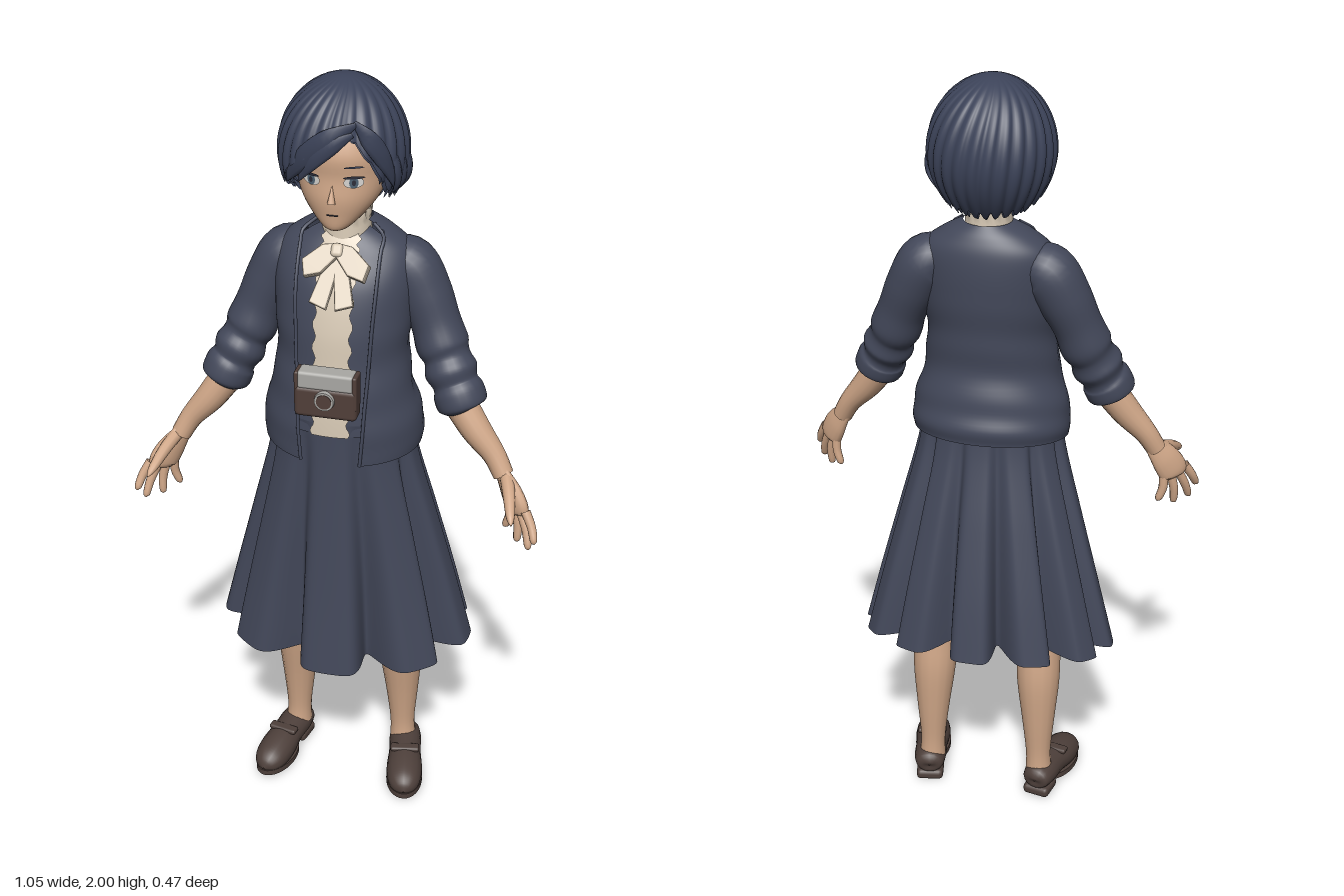
import * as THREE from 'three';
import { mergeVertices } from 'three/addons/utils/BufferGeometryUtils.js';
import { RoundedBoxGeometry } from 'three/addons/geometries/RoundedBoxGeometry.js';

const V = (x, y, z) => new THREE.Vector3(x, y, z);
const mat = (name, color) => {
  const m = new THREE.MeshStandardMaterial({ color, side: THREE.DoubleSide });
  m.name = name;
  return m;
};

// Smooth interpolation through a short table of number rows, t in 0..1
function spline(p, t) {
  const n = p.length, f = Math.min(Math.max(t, 0), 1) * (n - 1);
  const i = Math.min(Math.floor(f), n - 2), u = f - i;
  const a = p[Math.max(i - 1, 0)], b = p[i], c = p[i + 1], d = p[Math.min(i + 2, n - 1)];
  return b.map((_, k) => b[k] + 0.5 * u * (c[k] - a[k] + u * (2 * a[k] - 5 * b[k] + 4 * c[k] - d[k]
    + u * (3 * (b[k] - c[k]) + d[k] - a[k]))));
}

// Straight interpolation of [key, value] rows
function table(rows, key) {
  const i = Math.max(1, rows.findIndex(r => r[0] >= key));
  const [k0, v0] = rows[i - 1], [k1, v1] = rows[i];
  return v0 + (v1 - v0) * (key - k0) / (k1 - k0);
}

// Surface from fn(u, v), u running around and v running up
function surface(cols, rows, fn) {
  const pos = [], idx = [];
  for (let j = 0; j <= rows; j++) for (let i = 0; i <= cols; i++) {
    const p = fn(i / cols, j / rows);
    pos.push(p.x, p.y, p.z);
    if (i < cols && j < rows) {
      const a = j * (cols + 1) + i, c = a + cols + 1;
      idx.push(a, a + 1, c, a + 1, c + 1, c);
    }
  }
  let g = new THREE.BufferGeometry();
  g.setAttribute('position', new THREE.Float32BufferAttribute(pos, 3));
  g.setIndex(idx);
  g = mergeVertices(g, 1e-5);
  g.computeVertexNormals();
  return g;
}

// Limb along rows [x, y, z, radius]; ref is the wide direction, flat squashes across it
function sweep(path, { ref = V(0, 0, 1), flat = 1, cols = 16, rows = 24, minY = -1 } = {}) {
  return surface(cols, rows, (u, v) => {
    const [x, y, z, r] = spline(path, v), a = u * Math.PI * 2;
    const T = V(...spline(path, v + 0.01)).sub(V(...spline(path, v - 0.01))).normalize();
    const B = ref.clone().addScaledVector(T, -ref.dot(T)).normalize();
    const N = B.clone().cross(T);
    const p = V(x, y, z).addScaledVector(N, r * flat * Math.cos(a)).addScaledVector(B, r * Math.sin(a));
    p.y = Math.max(p.y, minY);
    return p;
  });
}

// Point on an oval section [y, half width, front z, back z]; angle 0 is the front
const oval = ([y, hx, zf, zb], a, off = 0, k = 1) =>
  V(Math.sin(a) * (hx + off) * k, y, (zf + zb) / 2 + Math.cos(a) * ((zf - zb) / 2 + off) * k);

export function createModel() {
  const model = new THREE.Group();
  const hairM = mat('hair navy', 0x3c4359), cloth = mat('cloth navy', 0x43485a), skin = mat('skin', 0xd0a788);
  const cream = mat('cream', 0xd6c8b4), shoeM = mat('shoe brown', 0x4e403b), leather = mat('leather brown', 0x513f39);
  const metal = mat('grey metal', 0xa9a8a4), dark = mat('dark line', 0x2b2c38);
  const eyeWhite = mat('eye white', 0xd8d6d2), iris = mat('iris', 0x4d6272);
  const add = (name, geo, m, parent = model) => {
    const mesh = new THREE.Mesh(geo, m);
    mesh.name = name;
    parent.add(mesh);
    return mesh;
  };
  const group = (name, parent = model) => {
    const g = new THREE.Group();
    g.name = name;
    parent.add(g);
    return g;
  };

  // Cardigan with open front
  const torso = [[1.065, .2, .19, -.12], [1.12, .204, .19, -.122], [1.2, .185, .185, -.1], [1.3, .165, .172, -.085],
    [1.4, .17, .162, -.095], [1.5, .175, .137, -.1], [1.57, .163, .1, -.095], [1.612, .115, .075, -.08], [1.64, .06, .05, -.06]];
  const halfAngle = (s, w) => Math.asin(Math.min(.9, w / s[1]));
  const cardigan = (u, v) => {
    const s = spline(torso, v), g = halfAngle(s, .075 + .024 * Math.min(1, v * 1.6)), a = g + u * 2 * (Math.PI - g);
    const p = oval(s, a, .004 * Math.sin(v * 40 + 2 * Math.cos(a)) * Math.max(0, Math.sin(Math.PI * Math.min(1, v * 1.7))) * (Math.cos(a) < 0 ? 1 : .4));
    p.y -= .018 * Math.cos(a) * Math.max(0, 1 - v * 4) - .01;
    return p;
  };
  add('cardigan', surface(72, 56, cardigan), cloth);
  for (const u of [0, 1]) {
    const edge = Array.from({ length: 12 }, (_, i) => [...cardigan(u, i / 11 * .95).toArray(), .0045]);
    add('cardiganEdge', sweep(edge, { cols: 8, rows: 30 }), cloth);
  }

  // Blouse front with wavy ruffles
  const panel = (w, off, wave) => surface(16, 60, (u, v) => {
    const s = spline(torso, .15 + .85 * v);
    return oval(s, (u * 2 - 1) * halfAngle(s, w + wave * Math.sin(v * 75)), off);
  });
  add('vestPanel', panel(.12, -.012, 0), cloth);
  add('blouseFront', panel(.047, -.005, .005), cream);

  // Collar with frilled rim, and neck
  add('collar', surface(48, 6, (u, v) => {
    const a = u * Math.PI * 2, r = .062 - .006 * v + (v > .8 ? .004 * Math.sin(a * 14) + .003 : 0);
    return V(Math.sin(a) * r, 1.605 + .075 * v - .012 * Math.cos(a) * v, .008 + Math.cos(a) * r);
  }), cream);
  add('neck', sweep([[0, 1.58, 0, .05], [0, 1.65, .008, .046], [0, 1.74, .02, .05]]), skin);

  // Neck bow
  const bow = group('bow');
  bow.position.set(0, 1.585, .084);
  bow.rotation.x = -.6;
  const plate = (pts, depth) => {
    const sh = new THREE.Shape(pts.map(p => new THREE.Vector2(...p)));
    return new THREE.ExtrudeGeometry(sh, { depth, bevelEnabled: true, bevelSize: .004, bevelThickness: .004, bevelSegments: 2 });
  };
  for (const s of [1, -1]) {
    add('bowLoop', plate([[0, .014], [s * .035, .008], [s * .078, -.03], [s * .07, -.065], [s * .035, -.055], [0, -.012]], .022), cream, bow);
    add('bowTail', plate([[0, 0], [s * .024, -.03], [s * .05, -.125], [s * .014, -.138], [0, -.05]], .008), cream, bow);
  }
  add('bowKnot', new RoundedBoxGeometry(.03, .034, .036, 3, .01), cream, bow).position.z = .014;

  // Pleated skirt, ten uneven box pleats deepening to the hem
  const skirt = [[.478, .34, .228, -.23], [.66, .293, .21, -.198], [.85, .242, .195, -.158], [1.04, .192, .183, -.115], [1.165, .175, .179, -.1]];
  const pleats = [[0, 0], [46, 1], [86, 2], [119, 3], [149, 4], [180, 5]];
  add('skirt', surface(264, 30, (u, v) => {
    const a = (u * 2 - 1) * Math.PI, low = 1 - v;
    const phase = table(pleats, Math.min(180, Math.abs(u * 2 - 1) * 180));
    const notch = Math.pow((1 - Math.cos(phase * Math.PI * 2)) / 2, 4);
    const p = oval(spline(skirt, v), a, 0, 1 - .35 * notch * Math.pow(low, .9));
    p.y += (-.037 * Math.cos(a) + .012 * notch) * low;
    return p;
  }), cloth);

  // Limbs, built once for each side
  for (const s of [1, -1]) {
    const side = group(s > 0 ? 'leftLimbs' : 'rightLimbs');
    const flip = rows => rows.map(([x, ...r]) => [s * x, ...r]);
    const limb = (name, path, m, o) => add(name, sweep(flip(path), o), m, side);
    limb('sleeve', [[.1, 1.545, -.008, .05], [.15, 1.532, -.01, .069], [.19, 1.465, -.004, .068], [.222, 1.395, .006, .062],
      [.243, 1.34, .016, .066], [.257, 1.31, .024, .058], [.27, 1.28, .034, .066], [.283, 1.252, .042, .057],
      [.293, 1.232, .048, .064], [.305, 1.2, .054, .062], [.308, 1.193, .055, .04]], cloth, { cols: 24, rows: 60 });
    limb('forearm', [[.28, 1.23, .05, .043], [.34, 1.145, .066, .038], [.392, 1.083, .077, .029], [.42, 1.035, .088, .026]], skin);
    // Hand with the index finger forward and outward
    const wide = V(s * .7, .05, .7).normalize();
    limb('palm', [[.405, 1.062, .08, .022], [.42, 1.035, .088, .029], [.443, 1.0, .102, .04], [.462, .965, .115, .042], [.466, .95, .118, .03], [.467, .947, .118, .002]],
      skin, { ref: wide, flat: .5 });
    const fingers = [[.488, .97, .142, .516, .9, .172], [.473, .96, .126, .5, .872, .155], [.457, .957, .11, .467, .868, .12], [.442, .962, .094, .432, .885, .088]];
    for (const [x, y, z, X, Y, Z] of fingers)
      limb('finger', [[x, y, z, .0125], [(x + X) / 2 + .005, (y + Y) / 2, (z + Z) / 2, .0115], [X, Y + .006, Z, .009], [X, Y, Z, .001]], skin, { cols: 10, rows: 12 });
    limb('thumb', [[.43, 1.035, .1, .017], [.446, 1.015, .15, .016], [.46, .988, .205, .011], [.466, .976, .226, .002]], skin, { ref: V(1, 0, 0), cols: 10, rows: 12 });
    limb('leg', [[.12, .75, .01, .078], [.135, .56, 0, .064], [.142, .46, -.012, .06], [.145, .36, -.025, .058], [.148, .24, -.033, .045],
      [.15, .13, -.036, .034], [.152, .07, -.036, .036]], skin);

    // Loafer
    const shoe = group('shoe', side);
    shoe.position.set(s * .167, 0, 0);
    shoe.rotation.y = s * .2;
    add('shoeUpper', sweep([[0, .055, -.085, .002], [0, .056, -.078, .034], [0, .056, -.04, .044], [0, .052, .02, .044], [0, .042, .08, .049],
      [0, .034, .13, .044], [0, .03, .158, .027], [0, .028, .17, .002]], { ref: V(1, 0, 0), flat: .86, rows: 36, minY: .015 }), shoeM, shoe);
    const sole = add('sole', new THREE.CylinderGeometry(.05, .05, .016, 32), shoeM, shoe);
    sole.scale.z = 1.75;
    sole.position.set(0, .014, .083);
    add('heel', new RoundedBoxGeometry(.074, .03, .075, 2, .012), shoeM, shoe).position.set(0, .015, -.045);
    add('shoeStrap', new RoundedBoxGeometry(.08, .014, .028, 2, .006), shoeM, shoe).position.set(0, .083, .045);
  }

  // Head
  const head = group('head');
  const skull = [[1.656, 0, .115, .112], [1.664, .03, .138, .07], [1.7, .068, .145, .02], [1.74, .097, .149, -.035], [1.79, .112, .145, -.07],
    [1.85, .115, .146, -.09], [1.92, .085, .11, -.07], [1.955, 0, .02, .01]];
  add('face', surface(40, 36, (u, v) => {
    const s = spline(skull, v);
    s[1] = Math.max(s[1], 0);
    return oval(s, u * Math.PI * 2);
  }), skin, head);
  const nose = add('nose', new THREE.ConeGeometry(.01, .045, 12), skin, head);
  nose.position.set(0, 1.757, .15);
  nose.rotation.x = -.2;
  add('mouth', new THREE.BoxGeometry(.026, .0025, .004), dark, head).position.set(0, 1.703, .146);
  for (const s of [1, -1]) {
    const ear = add('ear', new THREE.SphereGeometry(.03, 16, 12), skin, head);
    ear.scale.set(.4, 1, .65);
    ear.position.set(s * .112, 1.765, .015);
    const eye = group('eye', head);
    eye.position.set(s * .05, 1.787, .14);
    eye.rotation.y = s * .42;
    const disc = (name, m, w, h, z, y = 0) => {
      const d = add(name, new THREE.CircleGeometry(1, 24), m, eye);
      d.scale.set(w, h, 1);
      d.position.set(0, y, z);
    };
    disc('eyeWhite', eyeWhite, .024, .014, 0);
    disc('iris', iris, .011, .014, .0015);
    disc('pupil', dark, .005, .007, .003);
    disc('upperLash', dark, .026, .0035, .004, .013);
    disc('brow', hairM, .024, .0025, .003, .037);
  }

  // Bobbed hair: rows [angle in degrees, edge height], parted on the left
  const edge = [[-180, 1.692], [-120, 1.7], [-90, 1.722], [-70, 1.75], [-52, 1.775], [-38, 1.81], [-20, 1.84], [0, 1.865], [20, 1.893],
    [30, 1.865], [42, 1.82], [52, 1.78], [70, 1.75], [90, 1.722], [120, 1.7], [180, 1.692]];
  const bob = (shrink, lift) => surface(192, 36, (u, v) => {
    const d = -180 + 360 * u, a = d * Math.PI / 180;
    const lock = Math.abs(Math.sin(a * 13)), tip = Math.abs(Math.sin(a * 13 + .3));
    const low = table(edge, d) - (Math.abs(d) < 50 ? .008 : .022) * tip + .01 + lift;
    const phi0 = Math.asin((low - 1.82) / .18), phi = phi0 + (Math.PI / 2 - phi0) * v;
    const y = 1.82 + .18 * Math.sin(phi), drop = (1.82 - y) / .15;
    const r = (y > 1.82 ? Math.cos(phi) : 1 - .42 * drop * drop) * shrink * (1 + .055 * (lock - .55) * (1 - v ** 4));
    const twist = a + .5 * v * v;
    return V(-.006 + .153 * r * Math.sin(twist), y - (1 - shrink) * .18 * v, .012 + .164 * r * Math.cos(twist));
  });
  add('hair', bob(1, 0), hairM, head);
  add('hairInner', bob(.93, -.006), hairM, head);
  // Fringe swept from the parting
  const fringe = [
    [[.055, 1.925, .14, .006], [0, 1.895, .167, .026], [-.06, 1.845, .157, .026], [-.105, 1.79, .128, .014], [-.118, 1.762, .11, .001]],
    [[.05, 1.905, .152, .006], [.01, 1.882, .17, .018], [-.035, 1.843, .169, .018], [-.07, 1.8, .152, .01], [-.083, 1.775, .14, .001]],
    [[.05, 1.93, .138, .006], [.085, 1.895, .141, .022], [.112, 1.845, .12, .022], [.128, 1.79, .093, .012], [.13, 1.755, .08, .001]]];
  for (const path of fringe)
    add('fringeLock', sweep(path, { ref: V(0, 1, 0), flat: .4, cols: 10, rows: 20 }), hairM, head);
  // Side locks falling in front of the ears
  for (const s of [1, -1]) for (const k of [0, 1, 2])
    add('sideLock', sweep([[s * .115, 1.88, .085 - k * .03, .004], [s * (.133 + k * .004), 1.81, .07 - k * .035, .02],
      [s * (.134 + k * .005), 1.76, .06 - k * .035, .014], [s * .118, 1.715 + (2 - k) * .01, .05 - k * .035, .001]],
    { flat: .5, cols: 10, rows: 16 }), hairM, head);

  // Camera in a leather case
  const camera = group('camera');
  camera.position.set(0, 1.27, .2);
  add('cameraCase', new RoundedBoxGeometry(.156, .082, .052, 3, .012), leather, camera).position.y = -.023;
  add('cameraTop', new RoundedBoxGeometry(.14, .046, .048, 2, .008), metal, camera).position.y = .034;
  for (const x of [-.072, .072])
    add('caseSide', new RoundedBoxGeometry(.012, .09, .046, 2, .005), leather, camera).position.set(x, .01, 0);
  const ring = add('lensRing', new THREE.CylinderGeometry(.024, .026, .012, 24), metal, camera);
  const cover = add('lensCover', new THREE.CylinderGeometry(.019, .019, .015, 24), leather, camera);
  for (const part of [ring, cover]) {
    part.rotation.x = Math.PI / 2;
    part.position.set(0, -.012, .028);
  }

  return model;
}
